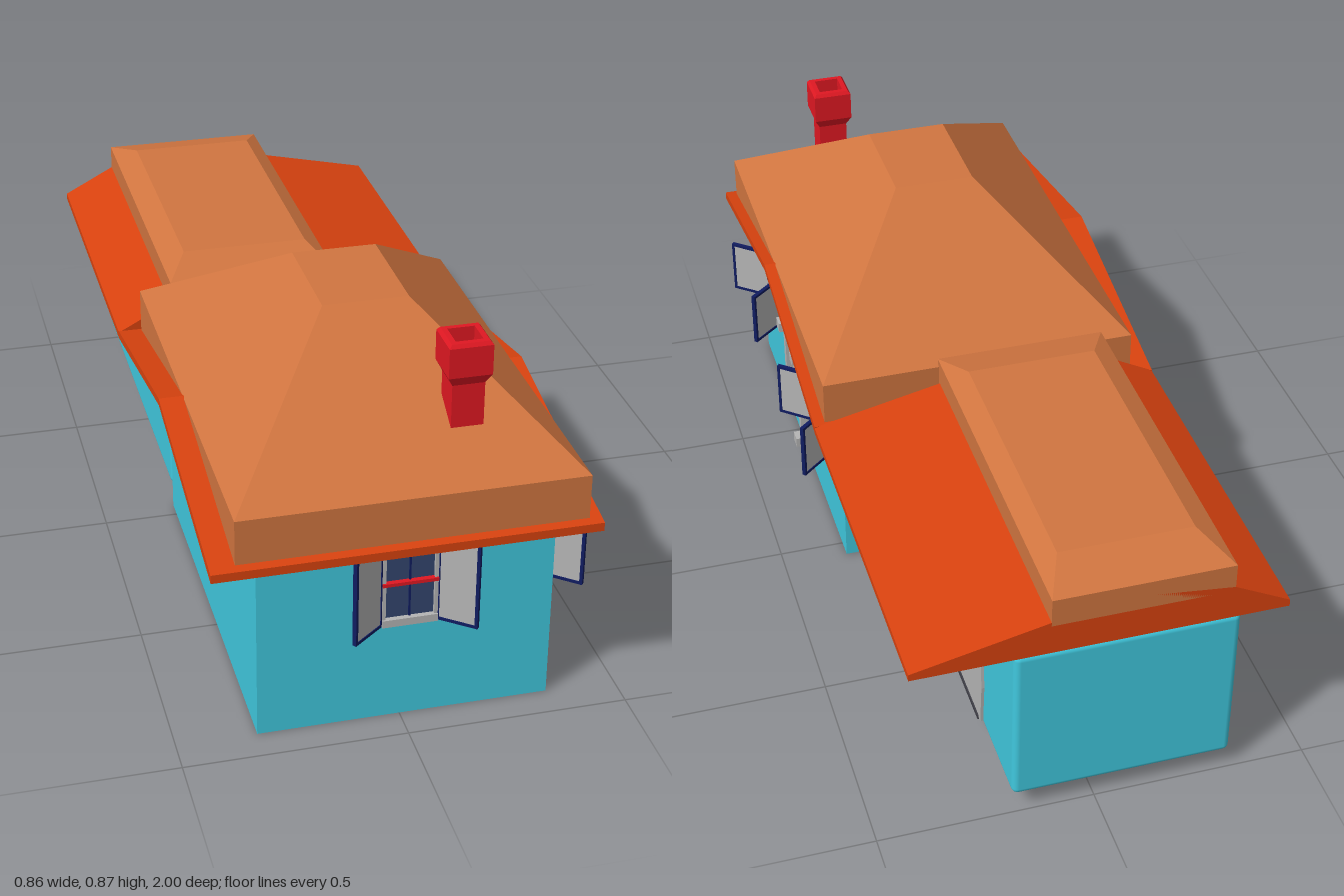
import * as THREE from 'three';
import { RoundedBoxGeometry } from 'three/addons/geometries/RoundedBoxGeometry.js';

const paint = (color) => new THREE.MeshStandardMaterial({ color });
const mats = {
  wall: paint(0x40c8de), tile: paint(0xd07540), eave: paint(0xd8420f), red: paint(0xe01822),
  grey: paint(0xb4b4b4), navy: paint(0x101c60), glass: paint(0x34466e), panel: paint(0xe26a58),
  dark: paint(0x404048),
};

function add(parent, name, geometry, mat) {
  const mesh = new THREE.Mesh(geometry, mat);
  mesh.name = name;
  parent.add(mesh);
  return mesh;
}

// Box given by its minimum and maximum on each axis
function box(parent, name, mat, x0, x1, y0, y1, z0, z1) {
  const mesh = add(parent, name, new THREE.BoxGeometry(x1 - x0, y1 - y0, z1 - z0), mat);
  mesh.position.set((x0 + x1) / 2, (y0 + y1) / 2, (z0 + z1) / 2);
  return mesh;
}

// Profile of [z, y] points extruded from x0 to x1
function prismX(points, x0, x1) {
  const shape = new THREE.Shape(points.map(([z, y]) => new THREE.Vector2(z, y)));
  const g = new THREE.ExtrudeGeometry(shape, { depth: x1 - x0, bevelEnabled: false });
  return g.rotateY(-Math.PI / 2).translate(x1, 0, 0);
}

// Flat-sided loft through rectangles [x0, x1, z0, z1, y], closed at both ends
function rectLoft(levels) {
  const rings = levels.map(([x0, x1, z0, z1, y]) => [[x0, y, z1], [x1, y, z1], [x1, y, z0], [x0, y, z0]]);
  const pos = [];
  const quad = (a, b, c, d) => pos.push(...a, ...b, ...c, ...a, ...c, ...d);
  for (let i = 0; i + 1 < rings.length; i++) {
    for (let j = 0; j < 4; j++) {
      const k = (j + 1) % 4;
      quad(rings[i][j], rings[i][k], rings[i + 1][k], rings[i + 1][j]);
    }
  }
  quad(...rings[rings.length - 1]);
  quad(...[...rings[0]].reverse());
  const g = new THREE.BufferGeometry();
  g.setAttribute('position', new THREE.Float32BufferAttribute(pos, 3));
  g.computeVertexNormals();
  return g;
}

// Window facing +z with its sill centre at the origin and two half-open shutters
function makeWindow(name, w, h, shutterW, angle, bars) {
  const group = new THREE.Group();
  group.name = name;
  const t = 0.008;
  box(group, 'glass', mats.glass, -w / 2, w / 2, 0, h, -0.01, 0.004);
  for (const s of [-1, 1]) {
    const x = s * (w / 2 - t / 2);
    box(group, 'windowJamb', mats.grey, x - t / 2, x + t / 2, 0, h, -0.01, 0.012);
    const hinge = new THREE.Group();
    hinge.name = 'shutter';
    hinge.position.set(s * w / 2, 0, 0.004);
    hinge.rotation.y = -s * angle;
    const outer = s * shutterW, b = 0.007;
    const lo = Math.min(0, outer), hi = Math.max(0, outer);
    box(hinge, 'shutterPanel', mats.grey, lo + b, hi - b, b, h - b, -0.003, 0.003);
    box(hinge, 'shutterStile', mats.navy, lo, lo + b, 0, h, -0.005, 0.005);
    box(hinge, 'shutterStile', mats.navy, hi - b, hi, 0, h, -0.005, 0.005);
    box(hinge, 'shutterRail', mats.navy, lo + b, hi - b, 0, b, -0.005, 0.005);
    box(hinge, 'shutterRail', mats.navy, lo + b, hi - b, h - b, h, -0.005, 0.005);
    group.add(hinge);
  }
  box(group, 'windowSill', mats.grey, -w / 2, w / 2, 0, 0.018, -0.01, 0.016);
  box(group, 'windowHead', mats.grey, -w / 2, w / 2, h - t, h, -0.01, 0.012);
  if (bars) {
    for (const f of [-1 / 6, 1 / 6]) box(group, 'muntin', mats.grey, f * w - 0.002, f * w + 0.002, 0, h, 0, 0.008);
    box(group, 'muntin', mats.grey, -w / 2, w / 2, h * 0.5 - 0.002, h * 0.5 + 0.002, 0, 0.008);
  } else {
    box(group, 'windowBar', mats.red, -w / 2, w / 2, h * 0.5 - 0.004, h * 0.5 + 0.004, 0, 0.016);
    box(group, 'muntin', mats.navy, -0.002, 0.002, 0.018, h, 0, 0.008);
  }
  return group;
}

// Door facing +z with its foot centre at the origin
function makeDoor() {
  const group = new THREE.Group();
  group.name = 'frontDoor';
  const w = 0.16, h = 0.29;
  box(group, 'doorLeaf', mats.grey, -w / 2, w / 2, 0, h, -0.01, 0.008);
  for (const s of [-1, 1]) {
    const x = s * w / 2;
    box(group, 'doorPost', mats.grey, x - 0.011, x + 0.011, 0, h, -0.01, 0.024);
    for (const y of [0, h - 0.026]) box(group, 'cornerBlock', mats.grey, x - 0.017, x + 0.017, y, y + 0.026, -0.01, 0.04);
    box(group, 'upperPanel', mats.panel, s * 0.035 - 0.02, s * 0.035 + 0.02, 0.19, 0.245, 0, 0.012);
  }
  box(group, 'doorLintel', mats.grey, -w / 2, w / 2, h - 0.02, h, -0.01, 0.024);
  box(group, 'lowerPanel', mats.panel, -0.055, 0.055, 0.03, 0.1, 0, 0.012);
  box(group, 'letterSlot', mats.panel, -0.04, 0.03, 0.124, 0.136, 0, 0.012);
  const knob = add(group, 'doorKnob', new THREE.SphereGeometry(0.007, 12, 8), mats.dark);
  knob.position.set(0.056, 0.14, 0.015);
  return group;
}

export function createModel() {
  const house = new THREE.Group();
  house.name = 'house';

  // Main house with gable walls, eave slab and hipped roof
  add(house, 'mainWalls', prismX([[-0.045, 0], [0.925, 0], [0.925, 0.465], [0.44, 0.572], [-0.045, 0.465]], -0.32, 0.34), mats.wall);
  add(house, 'mainEaves', prismX([[-0.12, 0.455], [0.44, 0.568], [1, 0.455], [1, 0.475], [0.44, 0.585], [-0.12, 0.475]], -0.43, 0.42), mats.eave);
  add(house, 'mainRoof', rectLoft([
    [-0.375, 0.393, -0.11, 0.98, 0.477],
    [-0.375, 0.393, -0.11, 0.98, 0.583],
    [-0.09, 0.105, 0.3, 0.575, 0.842],
  ]), mats.tile);

  // Chimney with flared, hollow cap
  const square = (r, y) => [0.155 - r, 0.155 + r, 0.817 - r, 0.817 + r, y];
  add(house, 'chimney', rectLoft([
    square(0.036, 0.6), square(0.036, 0.765), square(0.048, 0.788), square(0.048, 0.857),
    square(0.042, 0.865), square(0.03, 0.865), square(0.03, 0.8),
  ]), mats.red);

  // Garage wing with low gable roof and raised tile block
  const garage = add(house, 'garageWalls', new RoundedBoxGeometry(0.51, 0.41, 0.94, 3, 0.015), mats.wall);
  garage.position.set(-0.065, 0.255, -0.53);
  const gable = new THREE.Shape([[-0.43, 0.455], [0.42, 0.455], [0.42, 0.472], [0.11, 0.54], [-0.095, 0.565], [-0.3, 0.54], [-0.43, 0.472]]
    .map(([x, y]) => new THREE.Vector2(x, y)));
  add(house, 'garageEaves', new THREE.ExtrudeGeometry(gable, { depth: 0.88, bevelEnabled: false }).translate(0, 0, -0.997), mats.eave);
  add(house, 'garageRoof', rectLoft([
    [-0.3, 0.11, -0.997, -0.1, 0.53],
    [-0.3, 0.11, -0.997, -0.1, 0.6],
    [-0.245, 0.065, -0.885, -0.21, 0.63],
  ]), mats.tile);

  // Garage door with softly bowed outline
  const door = [[-0.768, 0.06], [-0.302, 0.06], [-0.294, 0.17], [-0.302, 0.25], [-0.325, 0.335],
    [-0.42, 0.347], [-0.53, 0.352], [-0.65, 0.347], [-0.755, 0.335], [-0.77, 0.25], [-0.776, 0.17]];
  add(house, 'garageDoor', prismX(door, 0.18, 0.197), mats.grey);
  box(house, 'garageThreshold', mats.dark, 0.18, 0.2, 0.055, 0.066, -0.755, -0.315);

  // Windows and entrance
  const frontWindow = makeWindow('frontWindow', 0.124, 0.214, 0.096, 0.67, false);
  frontWindow.position.set(0.015, 0.242, 0.925);
  house.add(frontWindow);
  for (const z of [0.74, 0.14]) {
    const sideWindow = makeWindow('sideWindow', 0.134, 0.145, 0.112, 0.87, true);
    sideWindow.position.set(0.34, 0.24, z);
    sideWindow.rotation.y = Math.PI / 2;
    house.add(sideWindow);
  }
  const entrance = makeDoor();
  entrance.position.set(0.34, 0.057, 0.448);
  entrance.rotation.y = Math.PI / 2;
  house.add(entrance);

  return house;
}
